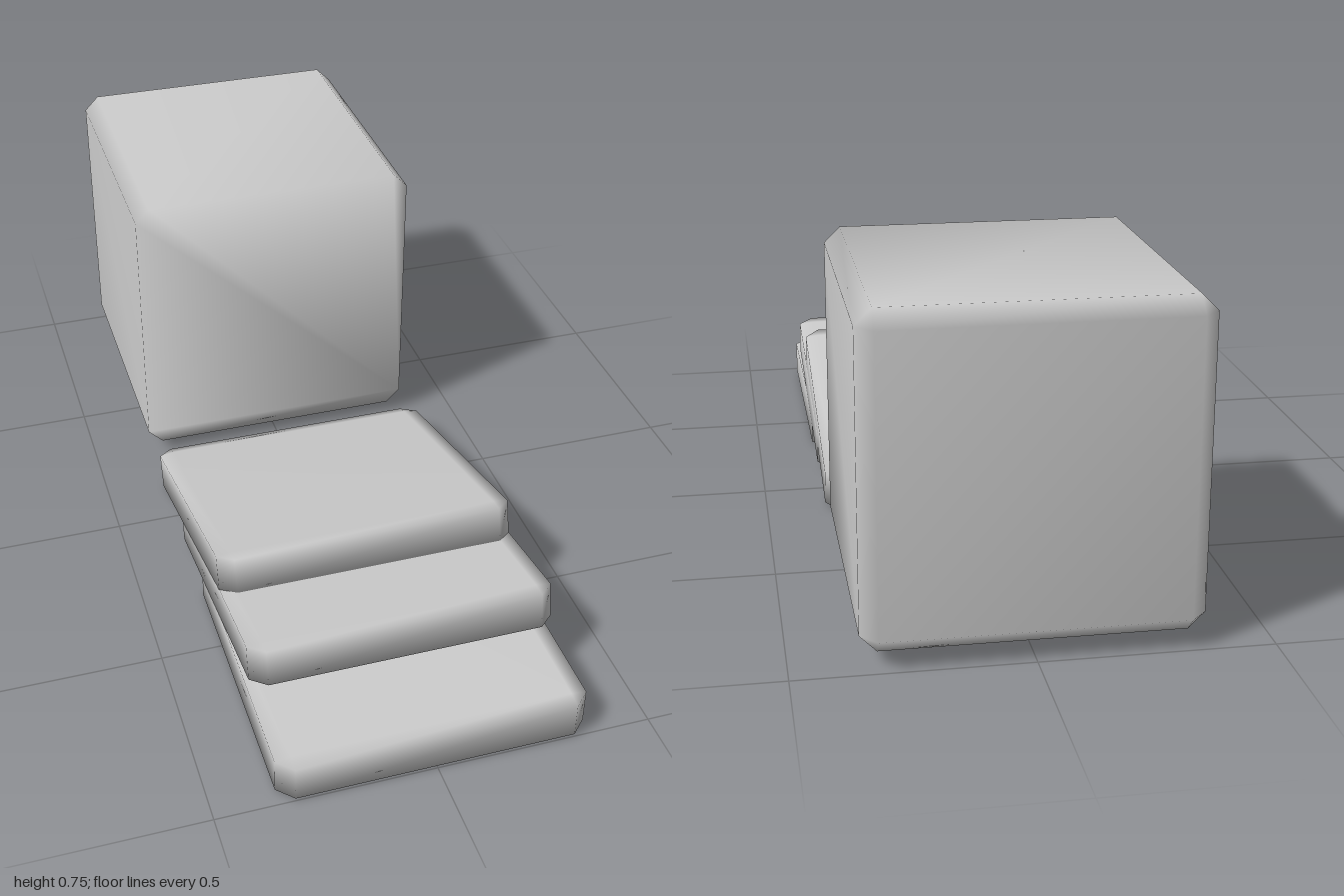
import * as THREE from 'three';
import { mergeVertices } from 'three/addons/utils/BufferGeometryUtils.js';

const HALF = 0.357;   // half width of every block
const INNER = 0.321;  // half width inside the bevel

// Block with chamfered upright edges, a bevelled top and a flat base
function bevelledBlock(height) {
  const bevel = (HALF - INNER) * height / (2 * HALF);
  const outline = [
    [HALF, -INNER], [HALF, INNER], [INNER, HALF], [-INNER, HALF],
    [-HALF, INNER], [-HALF, -INNER], [-INNER, -HALF], [INNER, -HALF],
  ];
  const n = outline.length;
  const clamp = v => THREE.MathUtils.clamp(v, -INNER, INNER);
  const positions = [];
  const index = [];

  // Rings: base, bevel start, inset top
  for (const [x, z] of outline) positions.push(x, -height / 2, z);
  for (const [x, z] of outline) positions.push(x, height / 2 - bevel, z);
  for (const [x, z] of outline) positions.push(clamp(x), height / 2, clamp(z));

  // Walls and bevel
  for (let ring = 0; ring < 2; ring++) {
    for (let i = 0; i < n; i++) {
      const a = ring * n + i;
      const b = ring * n + (i + 1) % n;
      index.push(a, a + n, b);
      // the inset corners coincide, so their second triangle vanishes
      index.push(b, a + n, b + n);
    }
  }
  // Base and top caps
  for (let i = 1; i < n - 1; i++) {
    index.push(0, i, i + 1);
    index.push(2 * n, 2 * n + i + 1, 2 * n + i);
  }

  let geometry = new THREE.BufferGeometry();
  geometry.setAttribute('position', new THREE.Float32BufferAttribute(positions, 3));
  geometry.setIndex(index);
  geometry = mergeVertices(geometry);
  geometry.computeVertexNormals();
  return geometry;
}

export function createModel() {
  const model = new THREE.Group();
  const grey = new THREE.MeshStandardMaterial({ color: 0xcccccc });
  grey.name = 'light grey';

  // Cube, bevelled end turned to the back
  const cube = new THREE.Mesh(bevelledBlock(2 * HALF), grey);
  cube.name = 'cube';
  cube.rotation.x = -Math.PI / 2;
  cube.position.set(0, 0.391, -0.643);
  model.add(cube);

  // Three slabs leaning on each other
  const slabGeometry = bevelledBlock(0.09);
  const slabs = [
    ['bottomSlab', 0.054, 0.643, 0],
    ['middleSlab', 0.126, 0.433, 10],
    ['topSlab', 0.138, 0.179, 15],
  ];
  for (const [name, y, z, tilt] of slabs) {
    const slab = new THREE.Mesh(slabGeometry, grey);
    slab.name = name;
    slab.position.set(0, y, z);
    slab.rotation.x = -THREE.MathUtils.degToRad(tilt);
    model.add(slab);
  }
  return model;
}
